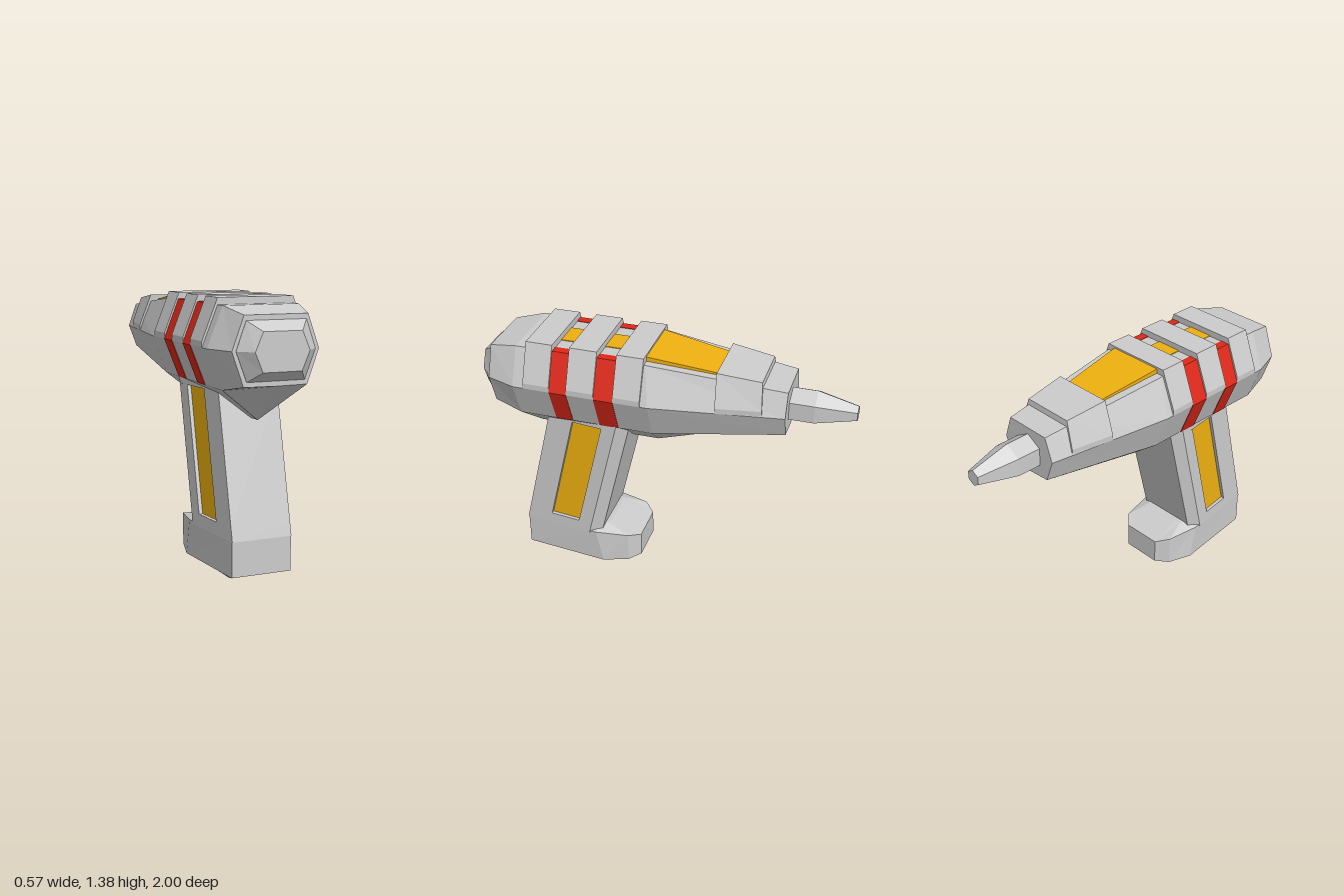
import * as THREE from 'three';

const paint = (color) => new THREE.MeshStandardMaterial({ color, flatShading: true });
const grey = paint(0xcccccc);
const red = paint(0xe02818);
const yellow = paint(0xeeb010);

// Skin a list of rings (counter-clockwise seen from the end they run towards)
function loft(name, rings, material, capStart = true, capEnd = true) {
  const out = [];
  const tri = (...pts) => pts.forEach((p) => out.push(...p));
  const n = rings[0].length;
  for (let i = 0; i + 1 < rings.length; i++) {
    for (let j = 0; j < n; j++) {
      const k = (j + 1) % n, a = rings[i], b = rings[i + 1];
      tri(a[j], a[k], b[k]);
      tri(a[j], b[k], b[j]);
    }
  }
  const last = rings[rings.length - 1];
  for (let j = 1; j + 1 < n; j++) {
    if (capStart) tri(rings[0][0], rings[0][j + 1], rings[0][j]);
    if (capEnd) tri(last[0], last[j], last[j + 1]);
  }
  const g = new THREE.BufferGeometry();
  g.setAttribute('position', new THREE.Float32BufferAttribute(out, 3));
  g.computeVertexNormals();
  const mesh = new THREE.Mesh(g, material);
  mesh.name = name;
  return mesh;
}

// Complete a half ring given on the +x side
const mirror = (half) => [
  ...half,
  ...half.filter((p) => p[0] !== 0).map(([x, y, z]) => [-x, y, z]).reverse(),
];
const atZ = (z, half) => mirror(half.map(([x, y]) => [x, y, z]));

export function createModel() {
  const model = new THREE.Group();

  // Main body: keel, lower edge, side edge, top edge, from muzzle end to back end
  model.add(loft('body', [
    mirror([[0, 1.01, -0.66], [0.13, 1.02, -0.66], [0.175, 1.14, -0.66], [0.13, 1.265, -0.66]]),
    mirror([[0, 0.78, 0.06], [0.2, 0.94, 0.03], [0.28, 1.14, 0.03], [0.2, 1.34, 0.06]]),
    mirror([[0, 0.78, 0.74], [0.2, 0.94, 0.77], [0.28, 1.14, 0.77], [0.2, 1.34, 0.77]]),
    mirror([[0, 0.97, 0.93], [0.165, 0.972, 0.93], [0.225, 1.14, 0.93], [0.165, 1.305, 0.93]]),
  ], grey));

  // Faceted end cap
  model.add(loft('endCap', [
    atZ(0.92, [[0.15, 0.995], [0.205, 1.14], [0.155, 1.28]]),
    atZ(0.932, [[0.15, 0.995], [0.205, 1.14], [0.155, 1.28]]),
    atZ(1, [[0.1, 1.045], [0.14, 1.14], [0.1, 1.233]]),
  ], grey));

  // Raised bands over the upper half
  for (const [z0, z1] of [[0.07, 0.215], [0.32, 0.47], [0.565, 0.71]]) {
    const half = [[0.281, 1.14], [0.281, 1.17], [0.2, 1.375]];
    model.add(loft('raisedBand', [atZ(z0, half), atZ(z1, half)], grey));
  }

  // Coloured stripes between the bands
  for (const [z0, z1] of [[0.215, 0.32], [0.47, 0.565]]) {
    for (const side of [1, -1]) {
      const profile = [[0.155, 0.945], [0.203, 0.94], [0.283, 1.14], [0.203, 1.343], [0.155, 1.343]]
        .map(([x, y]) => [x * side, y]);
      if (side < 0) profile.reverse();
      const ring = (z) => profile.map(([x, y]) => [x, y, z]);
      model.add(loft('sideStripe', [ring(z0), ring(z1)], red));
    }
    const half = [[0.072, 1.33], [0.072, 1.344]];
    model.add(loft('topStripe', [atZ(z0, half), atZ(z1, half)], yellow));
  }

  // Sloping top panel
  model.add(loft('topPanel', [
    atZ(-0.305, [[0.12, 1.29], [0.12, 1.313]]),
    atZ(0.07, [[0.157, 1.33], [0.157, 1.365]]),
  ], yellow));

  // Raised block near the muzzle
  model.add(loft('frontBlock', [
    mirror([[0.19, 1.14, -0.545], [0.191, 1.17, -0.543], [0.143, 1.31, -0.53]]),
    mirror([[0.229, 1.14, -0.31], [0.23, 1.17, -0.309], [0.167, 1.337, -0.3]]),
  ], grey));

  // Six-sided muzzle: a straight barrel and a tapered tip
  const muzzle = new THREE.Group();
  muzzle.name = 'muzzle';
  for (const [name, rTip, z0, z1] of [['barrel', 0.096, -0.64, -0.79], ['tip', 0.043, -0.79, -1]]) {
    const g = new THREE.CylinderGeometry(0.096, rTip, z0 - z1, 6);
    g.rotateX(Math.PI / 2);
    const part = new THREE.Mesh(g, grey);
    part.name = name;
    part.position.set(0, 1.133, (z0 + z1) / 2);
    muzzle.add(part);
  }
  model.add(muzzle);

  // Slanted grip: plan sections slide forward as they rise
  const lean = (half, y) => mirror(half.map(([x, z]) => [x, y, z - (y - 0.22) * 0.243]));
  const solid = [[0.16, 0.8], [0.205, 0.405], [0.17, 0.34]];
  const depth = 0.022;
  const notched = [
    solid[0], [0.1765, 0.657], [0.1765 - depth, 0.657], [0.196 - depth, 0.485], [0.196, 0.485],
    ...solid.slice(1),
  ];
  const grip = new THREE.Group();
  grip.name = 'grip';
  grip.add(
    loft('gripFoot', [lean(solid, 0.2), lean(solid, 0.265)], grey),
    loft('gripShaft', [lean(notched, 0.265), lean(notched, 0.91)], grey, false, false),
    loft('gripHead', [lean(solid, 0.91), lean(solid, 1.0)], grey),
  );
  // Inlays lying in the side recesses
  for (const side of [1, -1]) {
    const plan = [[0.13, 0.656], [0.1795 - depth, 0.656], [0.199 - depth, 0.486], [0.13, 0.486]];
    const ring = (y) => {
      const pts = plan.map(([x, z]) => [x * side, y, z - (y - 0.22) * 0.243]);
      return side < 0 ? pts.reverse() : pts;
    };
    grip.add(loft('gripInlay', [ring(0.266), ring(0.909)], yellow));
  }
  model.add(grip);

  // Base with a forward toe
  const flat = (y, half) => mirror(half.map(([x, z]) => [x, y, z]));
  model.add(loft('base', [
    mirror([[0.15, 0.005, 0.74], [0.16, 0, 0.33], [0.13, 0.01, 0.21], [0.09, 0.02, 0.18]]),
    mirror([[0.16, 0.02, 0.8], [0.207, 0.02, 0.33], [0.17, 0.03, 0.19], [0.11, 0.04, 0.13]]),
    mirror([[0.16, 0.22, 0.8], [0.207, 0.212, 0.37], [0.17, 0.2, 0.19], [0.11, 0.18, 0.13]]),
    flat(0.235, [[0.12, 0.7], [0.15, 0.37], [0.13, 0.32], [0.1, 0.31]]),
  ], grey));

  return model;
}
